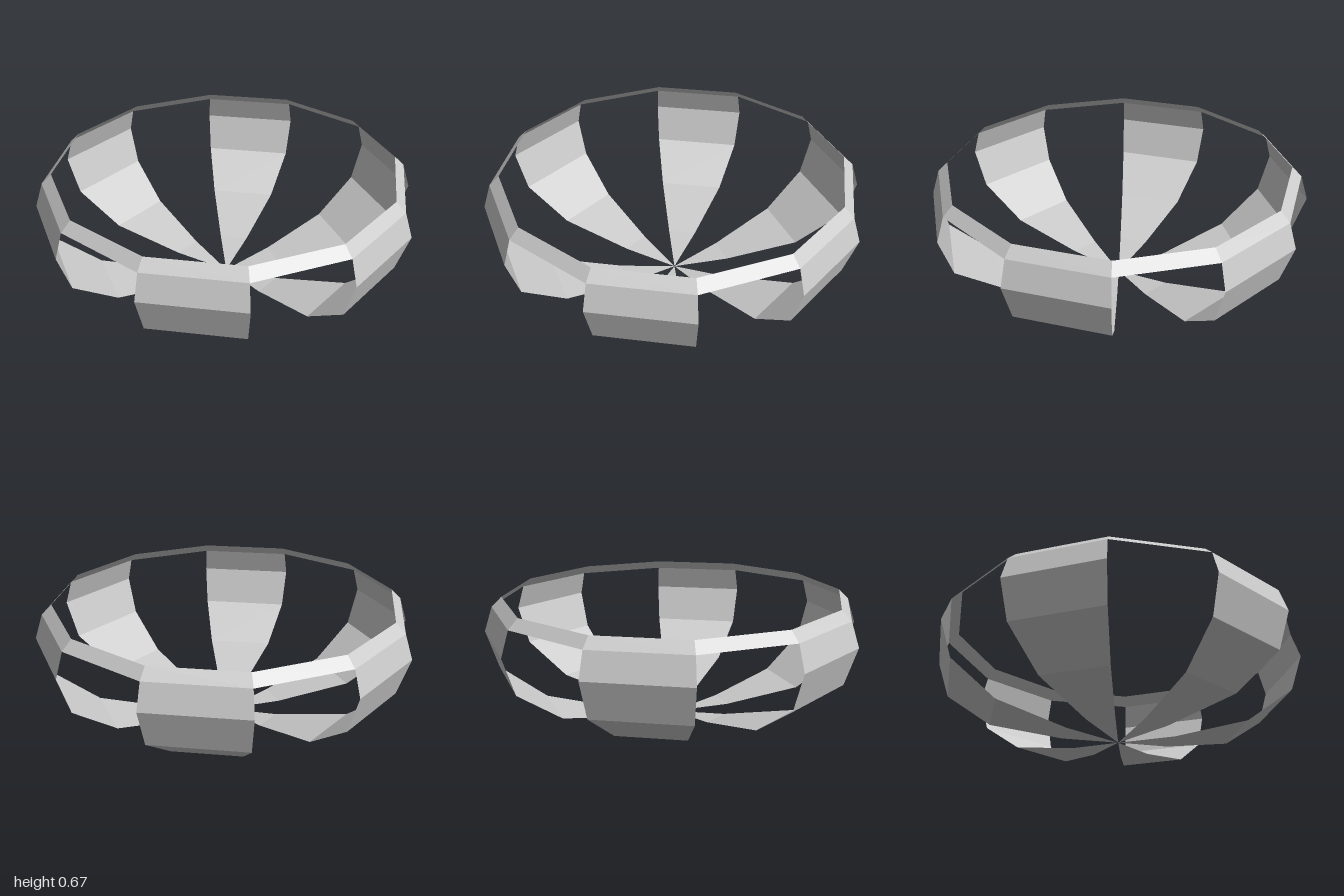
import * as THREE from 'three';

// Bowl profile from the bottom tip to the top, as (radius, height)
const profile = [
  [0, 0], [0.3, 0.03], [0.69, 0.115], [0.935, 0.288], [1, 0.488], [0.957, 0.62], [0.904, 0.672],
].map(([r, y]) => new THREE.Vector2(r, y));

const SIDES = 12;
const STEP = (Math.PI * 2) / SIDES;

export function createModel() {
  const model = new THREE.Group();
  model.name = 'slattedBowl';
  const material = new THREE.MeshStandardMaterial({
    color: 0xcccccc, flatShading: true, side: THREE.DoubleSide,
  });

  // Curved slats on every second side, meeting at the bottom tip
  const slatProfile = profile.slice(0, 6);
  for (let i = 0; i < SIDES; i += 2) {
    const geometry = new THREE.LatheGeometry(slatProfile, 1, (i - 1) * STEP, STEP);
    const slat = new THREE.Mesh(geometry, material);
    slat.name = `slat${i / 2 + 1}`;
    model.add(slat);
  }

  // Continuous sloping rim that joins the slats
  const rim = new THREE.Mesh(new THREE.LatheGeometry(profile.slice(5), SIDES), material);
  rim.name = 'rim';
  model.add(rim);

  return model;
}
